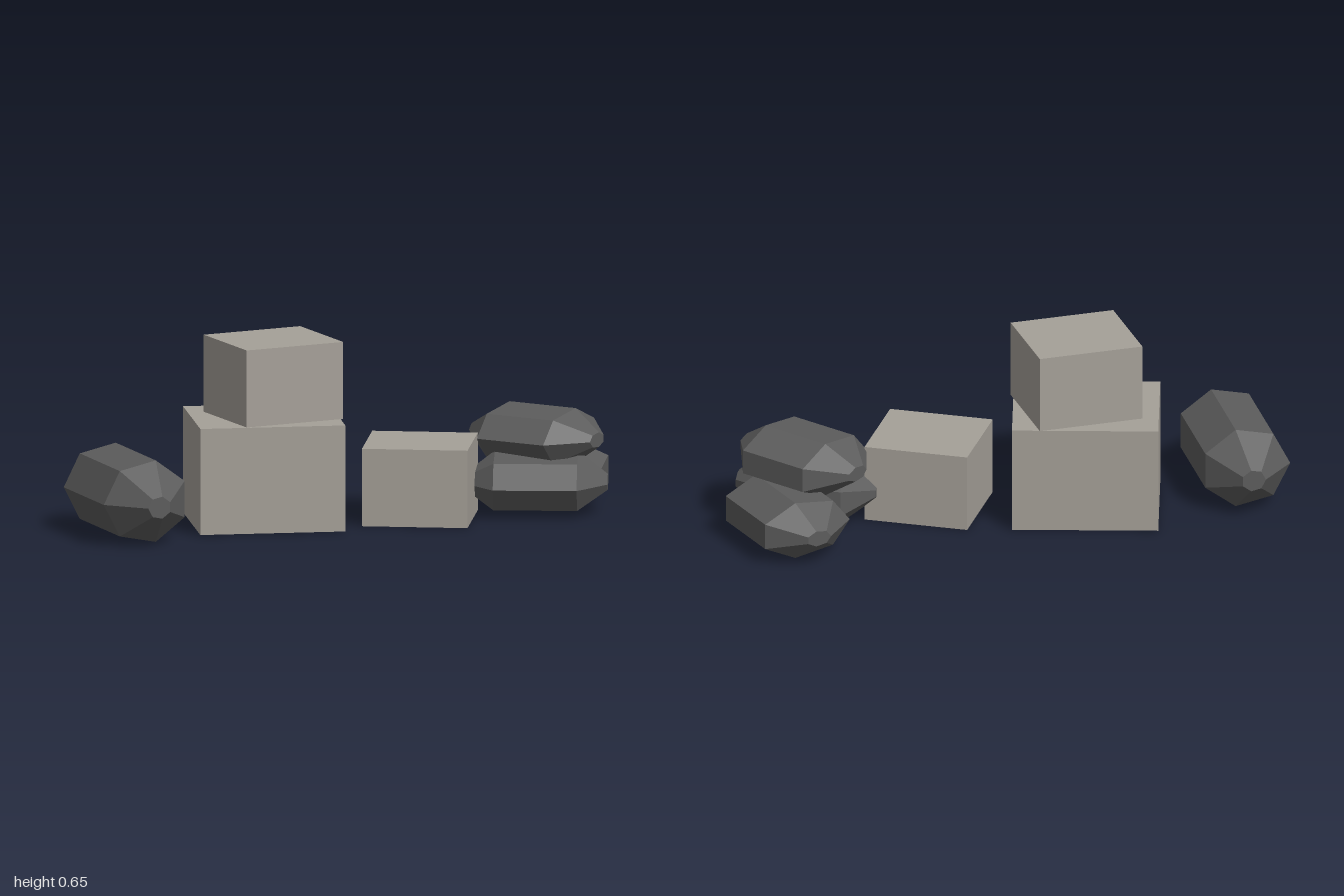
import * as THREE from 'three';

export function createModel() {
  const model = new THREE.Group();
  const stone = new THREE.MeshStandardMaterial({ color: 0xa5a098, flatShading: true });
  stone.name = 'warm grey';
  const cloth = new THREE.MeshStandardMaterial({ color: 0x5c5c5c, flatShading: true });
  cloth.name = 'dark grey';

  function place(name, geometry, material, x, y, z, turn) {
    const mesh = new THREE.Mesh(geometry, material);
    mesh.name = name;
    mesh.position.set(x, y, z);
    mesh.rotation.y = turn;
    model.add(mesh);
  }

  // Crates: width, height, depth, then centre and turn
  const crates = [
    ['largeCrate', 0.513, 0.378, 0.447, -0.284, 0.191, 0.013, -0.12],
    ['stackedCrate', 0.377, 0.275, 0.342, -0.25, 0.517, 0.012, 0.2],
    ['smallCrate', 0.372, 0.276, 0.353, 0.265, 0.138, 0.072, -0.36],
  ];
  for (const [name, w, h, d, x, y, z, turn] of crates) {
    place(name, new THREE.BoxGeometry(w, h, d), stone, x, y, z, turn);
  }

  // Seven-sided sack lying along z, with tapered ends and small flat tips
  function sackGeometry(radius, halfHeight, halfBody, halfLength) {
    const tip = radius * 0.27;
    const profile = [
      [0, -halfLength], [tip, -halfLength], [radius, -halfBody],
      [radius, halfBody], [tip, halfLength], [0, halfLength],
    ].map(([r, y]) => new THREE.Vector2(r, y));
    return new THREE.LatheGeometry(profile, 7, -Math.PI / 2)
      .rotateX(Math.PI / 2)
      .scale(1, halfHeight / radius, 1);
  }

  // Sacks: radius, half height, half body, half length, then centre and turn
  const sacks = [
    ['loneSack', 0.161, 0.149, 0.186, 0.312, -0.815, 0.151, 0.132, 0.13],
    ['backSack', 0.177, 0.107, 0.146, 0.248, 0.798, 0.108, -0.204, 0.39],
    ['frontSack', 0.18, 0.106, 0.147, 0.25, 0.691, 0.108, 0.06, 1.275],
    ['topSack', 0.188, 0.1, 0.134, 0.245, 0.72, 0.258, -0.048, 0.79],
  ];
  for (const [name, r, hh, hb, hl, x, y, z, turn] of sacks) {
    place(name, sackGeometry(r, hh, hb, hl), cloth, x, y, z, turn);
  }

  return model;
}
